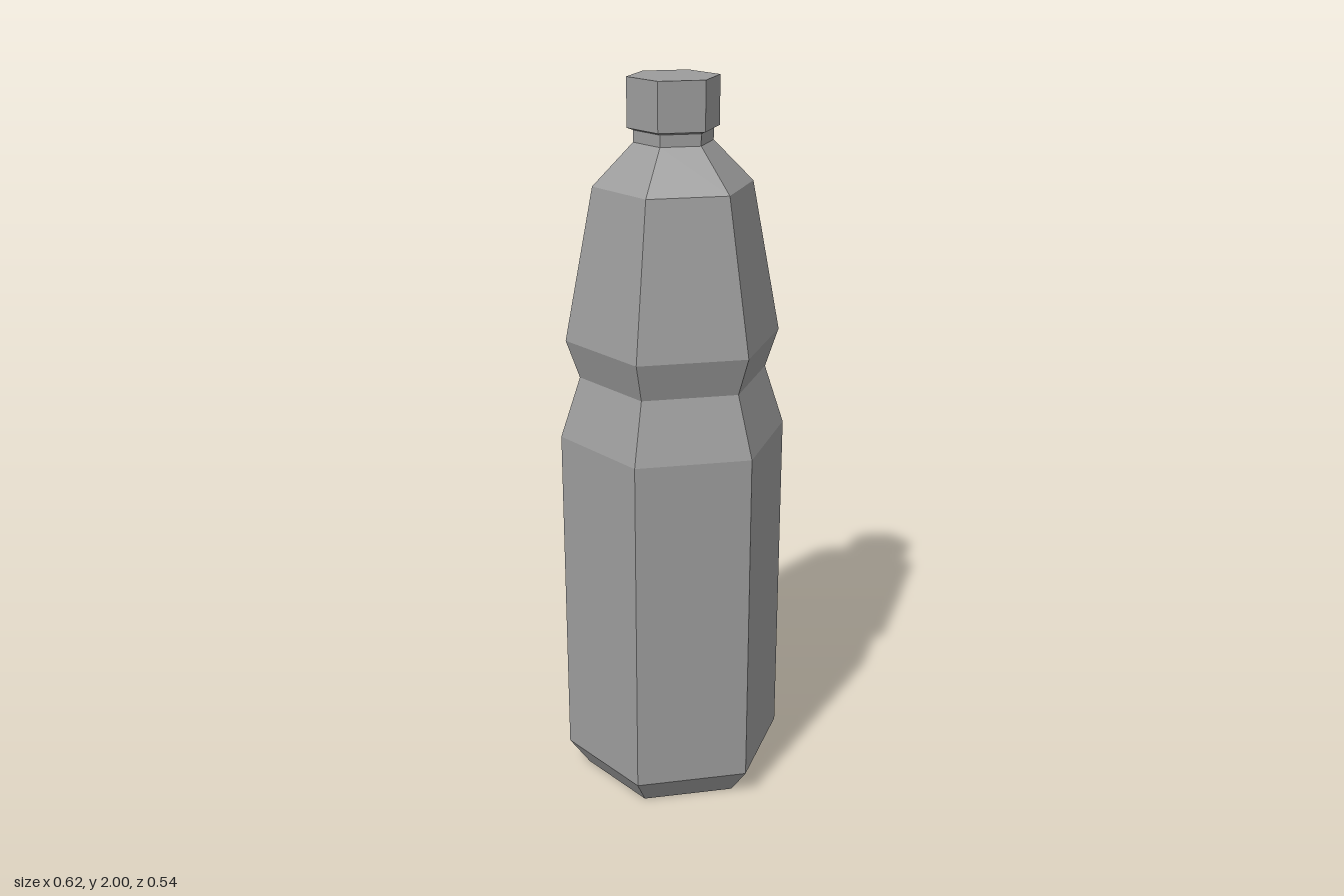
import * as THREE from 'three';

// Six-sided turned part with corners on the x axis; profile runs bottom to top
function hexLathe(name, profile) {
  const points = profile.map(([r, y]) => new THREE.Vector2(r, y));
  const geometry = new THREE.LatheGeometry(points, 6, Math.PI / 2);
  const material = new THREE.MeshStandardMaterial({ color: 0x9c9c9c, flatShading: true });
  const mesh = new THREE.Mesh(geometry, material);
  mesh.name = name;
  return mesh;
}

export function createModel() {
  const bottle = new THREE.Group();
  bottle.name = 'bottle';

  // Body: chamfered base, straight wall, pinched waist, tapering shoulder, neck
  bottle.add(hexLathe('body', [
    [0, 0], [0.255, 0], [0.312, 0.08], [0.312, 1.043], [0.257, 1.21],
    [0.293, 1.315], [0.214, 1.725], [0.106, 1.835], [0.106, 1.88], [0, 1.88],
  ]));

  // Screw cap, slightly wider than the neck, with a shallow sloped underside
  bottle.add(hexLathe('cap', [
    [0, 1.866], [0.106, 1.866], [0.122, 1.872], [0.122, 2], [0, 2],
  ]));

  return bottle;
}
